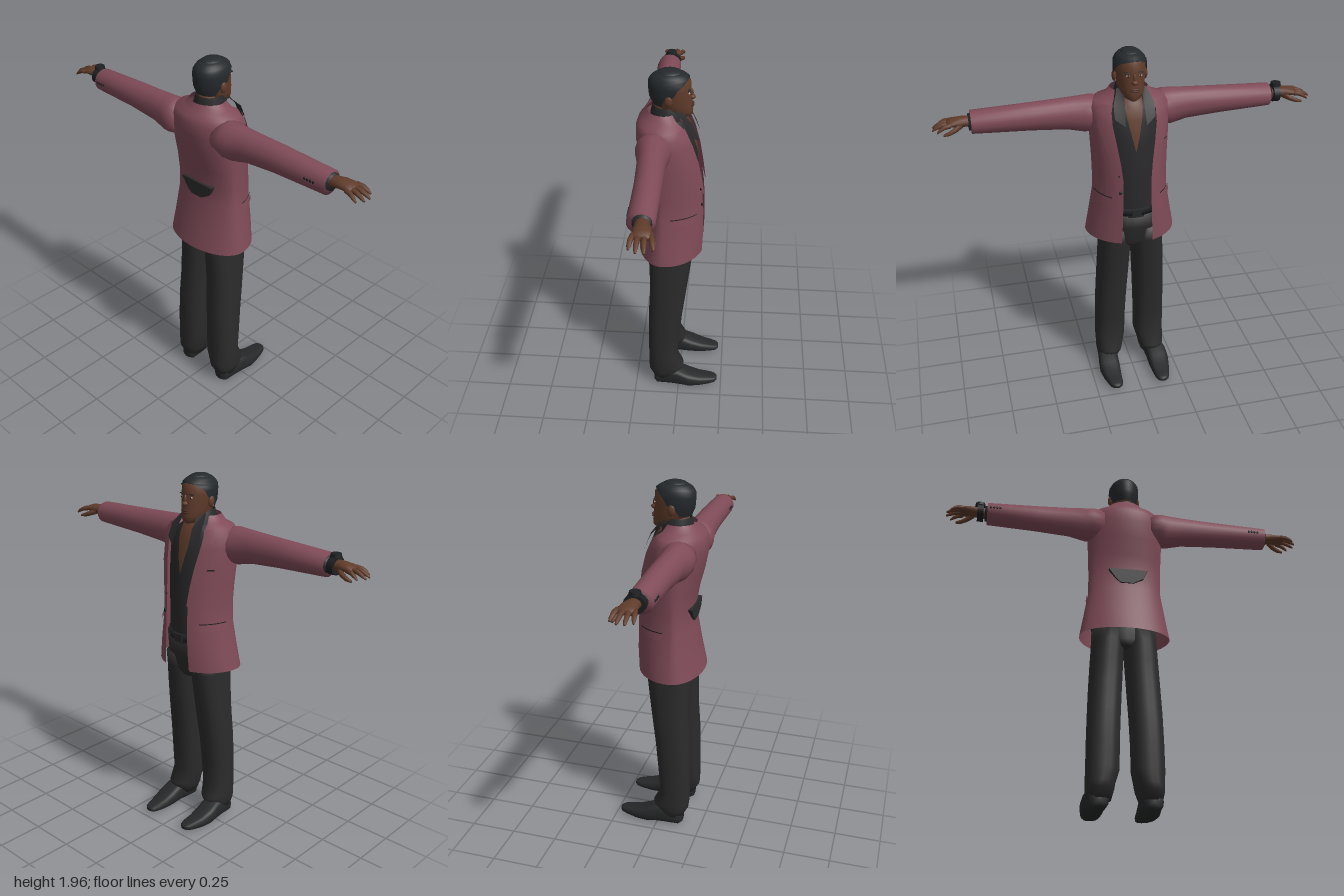
import * as THREE from 'three';

const mat = (name, color, side = THREE.FrontSide) => {
  const m = new THREE.MeshStandardMaterial({ color, side });
  m.name = name;
  return m;
};

// Skin a list of point rows; outward when each row runs anticlockwise about the direction of travel
function grid(rows, closed = false, cap = false) {
  const pos = [], idx = [], n = rows[0].length;
  rows.forEach(r => r.forEach(p => pos.push(...p)));
  for (let i = 0; i < rows.length - 1; i++)
    for (let j = 0; j < (closed ? n : n - 1); j++) {
      const a = i * n + j, b = i * n + (j + 1) % n;
      idx.push(a, b, a + n, b, b + n, a + n);
    }
  if (cap) [0, rows.length - 1].forEach((r, end) => {
    const c = pos.length / 3;
    pos.push(...[0, 1, 2].map(k => rows[r].reduce((s, p) => s + p[k], 0) / n));
    for (let j = 0; j < n; j++) {
      const a = r * n + j, b = r * n + (j + 1) % n;
      end ? idx.push(a, b, c) : idx.push(b, a, c);
    }
  });
  const g = new THREE.BufferGeometry();
  g.setAttribute('position', new THREE.Float32BufferAttribute(pos, 3));
  g.setIndex(idx);
  g.computeVertexNormals();
  return g;
}

// Mirror a geometry across x and restore its winding
function mirror(g) {
  const m = g.clone().scale(-1, 1, 1), a = m.index.array;
  for (let i = 0; i < a.length; i += 3) [a[i], a[i + 1]] = [a[i + 1], a[i]];
  m.computeVertexNormals();
  return m;
}

const pw = (v, p) => Math.sign(v) * Math.abs(v) ** p;
const circle = n => Array.from({ length: n }, (_, i) => i / n * Math.PI * 2);

// Body levels: [y, half width, back z, front z, half opening]
const JACKET = [
  [0.935, 0.245, 0.222, -0.135, 0.085], [1.05, 0.225, 0.195, -0.142, 0.08], [1.2, 0.2, 0.166, -0.142, 0.075],
  [1.3, 0.2, 0.16, -0.135, 0.075], [1.4, 0.203, 0.178, -0.125, 0.085], [1.5, 0.208, 0.205, -0.112, 0.1],
  [1.6, 0.21, 0.224, -0.088, 0.115], [1.66, 0.207, 0.222, -0.06, 0.115], [1.695, 0.185, 0.21, -0.04, 0.105],
  [1.712, 0.13, 0.187, -0.02, 0.092], [1.75, 0.098, 0.165, 0, 0.08]];
const SHIRT = [
  [1.07, 0.172, 0.14, -0.1], [1.3, 0.172, 0.13, -0.103], [1.5, 0.18, 0.17, -0.09], [1.6, 0.18, 0.18, -0.07],
  [1.66, 0.165, 0.18, -0.048], [1.695, 0.11, 0.155, -0.03], [1.72, 0.07, 0.135, -0.005]];
const HEAD = [
  [1.713, 0.022, 0.03, -0.05], [1.725, 0.044, 0.07, -0.062], [1.75, 0.06, 0.1, -0.064], [1.78, 0.068, 0.128, -0.061],
  [1.82, 0.075, 0.145, -0.057], [1.86, 0.078, 0.15, -0.055], [1.9, 0.077, 0.15, -0.053], [1.925, 0.064, 0.135, -0.035],
  [1.942, 0.043, 0.108, -0.005], [1.95, 0.012, 0.06, 0.04]];
JACKET.zc = SHIRT.zc = 0.08;

function level(t, y) {
  let i = 0;
  while (i < t.length - 2 && y > t[i + 1][0]) i++;
  const k = (y - t[i][0]) / (t[i + 1][0] - t[i][0]);
  return t[i].map((v, c) => v + (t[i + 1][c] - v) * k);
}
// Point on a body surface; angle 0 is the back, +-PI the front
function surf(t, y, a, off = 0) {
  const [, w, b, f] = level(t, y), zc = t.zc ?? (b + f) / 2, c = Math.cos(a);
  return [(w + off) * Math.sin(a), y, zc + c * ((c > 0 ? b - zc : zc - f) + off)];
}
// Front angle at which the surface reaches a given x
const frontAngle = (t, y, x) => Math.PI - Math.asin(Math.min(1, x / level(t, y)[1]));
// Rows of [y, from angle, to angle] lying on a body surface
const patch = (t, rows, off, n = 8) => grid(rows.map(([y, a, b]) =>
  Array.from({ length: n + 1 }, (_, i) => surf(t, y, a + (b - a) * i / n, off))));
const wrap = (t, n = 28) => t.map(l => circle(n).map(a => surf(t, l[0], a)));

// Loft along +x: [x, centre y, centre z, half height, half depth]
const limb = (s, n = 14) => grid(s.map(([x, y, z, h, d]) =>
  circle(n).map(a => [x, y + h * Math.cos(a), z + d * Math.sin(a)])), true, true);

export function createModel() {
  const model = new THREE.Group();
  const M = {
    jacket: mat('burgundy cloth', 0x7f4b58, THREE.DoubleSide), shirt: mat('black shirt', 0x29292b, THREE.DoubleSide),
    trousers: mat('charcoal trousers', 0x2b2b2b), shoe: mat('black leather', 0x272829),
    skin: mat('brown skin', 0x5f3b2a, THREE.DoubleSide), hair: mat('black hair', 0x25292c, THREE.DoubleSide),
    lip: mat('lip brown', 0x4a2a22), eye: mat('eye white', 0xa89a8e), watch: mat('watch black', 0x1d1f22)
  };
  const add = (name, g, m, p = [0, 0, 0], s = [1, 1, 1]) => {
    const o = new THREE.Mesh(g, m);
    o.name = name;
    o.position.set(...p);
    o.scale.set(...s);
    model.add(o);
    return o;
  };
  const both = (name, g, m) => { add(name + 'Left', g, m); add(name + 'Right', mirror(g), m); };
  const ball = new THREE.SphereGeometry(1, 14, 10);

  // Jacket body, open down the front
  add('jacketBody', patch(JACKET, JACKET.map(([y, , , , e]) => {
    const a = frontAngle(JACKET, y, e);
    return [y, -a, a];
  }), 0, 36), M.jacket);

  // Lapels folded back over the front edges
  both('lapel', patch(JACKET, [[1.3, 0.004], [1.4, 0.03], [1.5, 0.05], [1.6, 0.062], [1.63, 0.045], [1.66, 0.06], [1.695, 0.045]]
    .map(([y, w]) => {
      const e = level(JACKET, y)[4];
      return [y, frontAngle(JACKET, y, e + w), frontAngle(JACKET, y, e - 0.004)];
    }), 0.009, 4), M.jacket);

  // Pocket flaps, breast pocket and buttons
  both('pocketFlap', patch(JACKET, [[1.165, 1.75, 2.45], [1.2, 1.75, 2.45]], 0.007), M.jacket);
  both('pocketSlit', patch(JACKET, [[1.201, 1.75, 2.45], [1.206, 1.75, 2.45]], 0.004), M.watch);
  add('breastPocket', patch(JACKET, [[1.49, -2.45, -2.15], [1.497, -2.45, -2.15]], 0.004), M.watch);
  for (const y of [1.24, 1.335])
    add('jacketButton', ball, M.watch, surf(JACKET, y, frontAngle(JACKET, y, 0.088), 0.003), [0.009, 0.009, 0.005]);

  // Dark panel at the small of the back
  const panel = new THREE.Shape([[-0.1, 1.305], [-0.06, 1.25], [-0.035, 1.228], [0.035, 1.228], [0.09, 1.26], [0.112, 1.31], [-0.1, 1.31]]
    .map(p => new THREE.Vector2(...p)));
  add('backPanel', new THREE.ExtrudeGeometry(panel, { depth: 0.05, bevelEnabled: false }), M.trousers, [0, 0, 0.122]);

  // Shirt, open neck, collar and belt
  add('shirt', grid(wrap(SHIRT), true), M.shirt);
  add('openNeck', patch(SHIRT, [[1.46, 0.002], [1.54, 0.02], [1.62, 0.036], [1.66, 0.042], [1.695, 0.045], [1.72, 0.05]]
    .map(([y, x]) => [y, frontAngle(SHIRT, y, x), 2 * Math.PI - frontAngle(SHIRT, y, x)]), 0.005), M.skin);
  const collar = [[1.69, 0.088, 0.152, -0.025], [1.735, 0.08, 0.148, -0.02], [1.775, 0.068, 0.138, 0]];
  add('shirtCollar', patch(collar, [[1.69, -2.5, 2.5], [1.735, -2.45, 2.45], [1.775, -2.4, 2.4]], 0, 24), M.shirt);
  both('collarWing', grid([
    [[0.105, 1.635, -0.075], [0.055, 1.6, -0.098]],
    [[0.105, 1.7, -0.045], [0.05, 1.69, -0.062]],
    [[0.075, 1.765, 0.02], [0.045, 1.765, -0.005]]]), M.shirt);
  add('belt', grid([1.085, 1.125].map(y => circle(28).map(a => surf(SHIRT, y, a, 0.008))), true, true), M.watch);
  add('beltBuckle', new THREE.BoxGeometry(0.05, 0.04, 0.008), M.shoe, [0, 1.105, -0.112]);

  // Trousers: hips and two legs, levels [y, inner x, outer x, back z, front z]
  add('hips', grid([[0.865, 0.06, 0.15, -0.05], [0.9, 0.15, 0.16, -0.07], [1, 0.178, 0.155, -0.09], [1.1, 0.174, 0.14, -0.1]]
    .map(([y, w, b, f]) => circle(24).map(a => [w * Math.sin(a), y, (b + f) / 2 + (b - f) / 2 * Math.cos(a)])), true, true), M.trousers);
  const leg = [[0.05, 0.07, 0.19, 0.145, 0.02], [0.1, 0.055, 0.2, 0.172, -0.018], [0.13, 0.05, 0.2, 0.175, -0.028],
    [0.2, 0.03, 0.202, 0.175, 0.01], [0.35, 0.028, 0.2, 0.175, -0.003], [0.5, 0.022, 0.196, 0.172, -0.018],
    [0.65, 0.014, 0.19, 0.163, -0.038], [0.8, 0.006, 0.182, 0.163, -0.058], [0.9, 0.001, 0.176, 0.168, -0.07],
    [0.98, 0.001, 0.174, 0.165, -0.08]];
  both('trouserLeg', grid(leg.map(([y, i, o, b, f]) => circle(20).map(a => [
    (i + o) / 2 + (o - i) / 2 * pw(Math.sin(a), 0.85), y, (b + f) / 2 + (b - f) / 2 * pw(Math.cos(a), 0.85)])), true, true), M.trousers);

  // Shoes from heel to toe: [z, half width, bottom, top, centre x]
  const shoe = [[0.142, 0.03, 0.008, 0.07, 0.135], [0.125, 0.05, 0, 0.09, 0.137], [0.05, 0.054, 0, 0.12, 0.14],
    [0, 0.058, 0.004, 0.115, 0.145], [-0.06, 0.06, 0, 0.085, 0.148], [-0.12, 0.052, 0, 0.062, 0.145],
    [-0.18, 0.042, 0.008, 0.052, 0.14], [-0.212, 0.032, 0.014, 0.046, 0.138], [-0.225, 0.016, 0.02, 0.04, 0.138]];
  both('shoe', grid(shoe.map(([z, w, b, t, x]) => circle(16).map(a => [
    x + w * pw(Math.sin(a), 0.65), (b + t) / 2 + (t - b) / 2 * pw(Math.cos(a), 0.65), z])), true, true), M.shoe);

  // Arms and hands; end is where each sleeve stops
  for (const [side, end] of [['Left', 0.805], ['Right', 0.775]]) {
    const put = (name, g, m) => add(name + side, side === 'Left' ? g : mirror(g), m);
    put('sleeve', limb([[0.13, 1.61, 0.115, 0.08, 0.085], [0.19, 1.605, 0.118, 0.096, 0.092], [0.23, 1.603, 0.118, 0.097, 0.082],
      [0.32, 1.612, 0.116, 0.084, 0.07], [0.5, 1.616, 0.112, 0.073, 0.066], [end, 1.616, 0.114, 0.06, 0.064]], 18), M.jacket);
    put('shirtCuff', limb([[end - 0.02, 1.62, 0.108, 0.045, 0.048], [end + 0.012, 1.62, 0.108, 0.042, 0.044]]), M.shirt);
    put('hand', limb([[0.76, 1.62, 0.105, 0.03, 0.036], [0.83, 1.627, 0.105, 0.027, 0.034], [0.86, 1.63, 0.1, 0.025, 0.04],
      [0.9, 1.63, 0.098, 0.02, 0.045], [0.925, 1.624, 0.1, 0.014, 0.043]]), M.skin);
    [[0.058, 0.045, 0.975], [0.087, 0.082, 0.998], [0.114, 0.118, 0.995], [0.137, 0.15, 0.972]].forEach(([z0, z1, tip]) => {
      const at = (k, y, r) => [0.905 + (tip - 0.905) * k, y, z0 + (z1 - z0) * k, r, r * 1.05];
      put('finger', limb([at(0, 1.628, 0.012), at(0.45, 1.624, 0.012), at(0.8, 1.611, 0.01), at(1, 1.6, 0.005)], 8), M.skin);
    });
    put('thumb', limb([[0.845, 1.62, 0.085, 0.018, 0.018], [0.88, 1.605, 0.06, 0.015, 0.016], [0.915, 1.592, 0.048, 0.012, 0.012],
      [0.945, 1.585, 0.045, 0.006, 0.007]], 8), M.skin);
    for (let i = 0; i < 4; i++)
      add('cuffButton' + side, ball, M.watch, [(side === 'Left' ? 1 : -1) * (0.705 + i * 0.017), 1.622, 0.177], [0.006, 0.008, 0.004]);
  }

  // Wrist watch
  const strap = add('watchStrap', new THREE.CylinderGeometry(0.046, 0.046, 0.034, 18), M.watch, [-0.812, 1.623, 0.106], [1, 1, 1.12]);
  strap.rotation.z = Math.PI / 2;
  add('watchCase', new THREE.CylinderGeometry(0.026, 0.029, 0.018, 16), M.watch, [-0.815, 1.673, 0.106]);

  // Neck and head
  add('neck', grid([[1.64, 0.07, 0.14, -0.04], [1.7, 0.058, 0.13, -0.012], [1.79, 0.056, 0.125, -0.012]]
    .map(([y, w, b, f]) => circle(18).map(a => [w * Math.sin(a), y, (b + f) / 2 + (b - f) / 2 * Math.cos(a)])), true, true), M.skin);
  add('head', grid(wrap(HEAD, 24), true, true), M.skin);
  add('hair', patch(HEAD, [[1.785, 1], [1.82, 1.3], [1.845, 1.75], [1.88, 1.95], [1.903, 2.3], [1.918, Math.PI],
    [1.93, Math.PI], [1.942, Math.PI], [1.95, Math.PI]].map(([y, a]) => [y, -a, a]), 0.008, 28), M.hair);
  add('crown', ball, M.hair, [0, 1.938, 0.052], [0.05, 0.02, 0.062]);

  // Face
  add('nose', ball, M.skin, [0, 1.815, -0.059], [0.017, 0.013, 0.017]);
  add('noseBridge', ball, M.skin, [0, 1.835, -0.055], [0.009, 0.026, 0.011]);
  add('upperLip', ball, M.lip, [0, 1.779, -0.061], [0.025, 0.006, 0.008]);
  add('lowerLip', ball, M.lip, [0, 1.769, -0.06], [0.022, 0.006, 0.009]);
  for (const s of [1, -1]) {
    add('ear', ball, M.skin, [s * 0.08, 1.822, 0.052], [0.012, 0.03, 0.02]);
    add('eye', ball, M.eye, [s * 0.03, 1.847, -0.046], [0.012, 0.005, 0.006]);
    add('iris', ball, M.watch, [s * 0.03, 1.847, -0.05], [0.005, 0.005, 0.004]);
    add('eyebrow', ball, M.hair, [s * 0.031, 1.864, -0.045], [0.019, 0.004, 0.008]);
  }
  return model;
}
